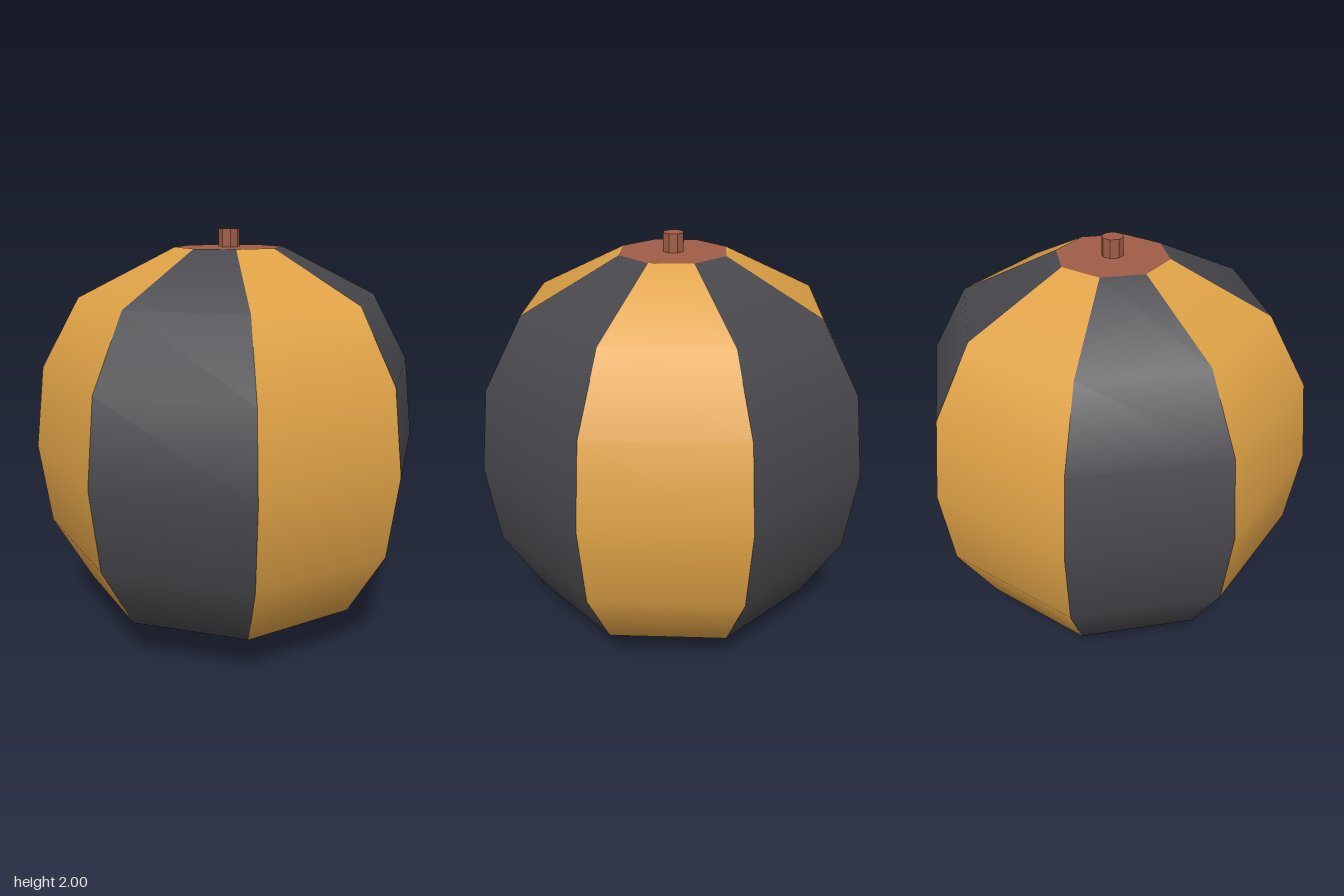
import * as THREE from 'three';

const SIDES = 8;
const STEP = (Math.PI * 2) / SIDES;
const TOP = 1.915;

// Half outline from the base centre up to the rim of the cap
const PROFILE = [
  [0, 0], [0.26, 0], [0.72, 0.235], [0.905, 0.565], [0.955, 0.96],
  [0.905, 1.355], [0.72, 1.685], [0.26, TOP],
].map(([r, y]) => new THREE.Vector2(r, y));

// One gore: smooth from base to top, flat across, with hard seams
function goreGeometry(start) {
  const geometry = new THREE.LatheGeometry(PROFILE, 1, start, STEP);
  const normal = geometry.attributes.normal;
  const mid = start + STEP / 2;
  for (let i = 0; i < normal.count; i++) {
    const h = Math.hypot(normal.getX(i), normal.getZ(i));
    normal.setXYZ(i, Math.sin(mid) * h, normal.getY(i), Math.cos(mid) * h);
  }
  return geometry;
}

export function createModel() {
  const charcoal = new THREE.MeshStandardMaterial({ color: 0x48474c });
  const amber = new THREE.MeshStandardMaterial({ color: 0xdfa246 });
  const brown = new THREE.MeshStandardMaterial({ color: 0xa05d45 });
  charcoal.name = 'charcoal';
  amber.name = 'amber';
  brown.name = 'brown';

  const model = new THREE.Group();
  model.name = 'stripedBall';
  const add = (name, geometry, material, parent = model) => {
    const mesh = new THREE.Mesh(geometry, material);
    mesh.name = name;
    parent.add(mesh);
    return mesh;
  };

  // Alternating gores around the body
  const body = new THREE.Group();
  body.name = 'body';
  model.add(body);
  for (let i = 0; i < SIDES; i++) {
    add(`panel${i + 1}`, goreGeometry(i * STEP), i % 2 ? amber : charcoal, body);
  }

  // Flat cap closing the top
  const cap = add('topCap', new THREE.CircleGeometry(0.26, SIDES), brown);
  cap.rotation.x = -Math.PI / 2;
  cap.position.y = TOP;

  // Short faceted stem
  const stemHeight = 2 - TOP;
  const stemGeometry = new THREE.CylinderGeometry(0.05, 0.05, stemHeight, SIDES).toNonIndexed();
  stemGeometry.computeVertexNormals();
  const stem = add('stem', stemGeometry, brown);
  stem.position.y = TOP + stemHeight / 2;

  return model;
}
